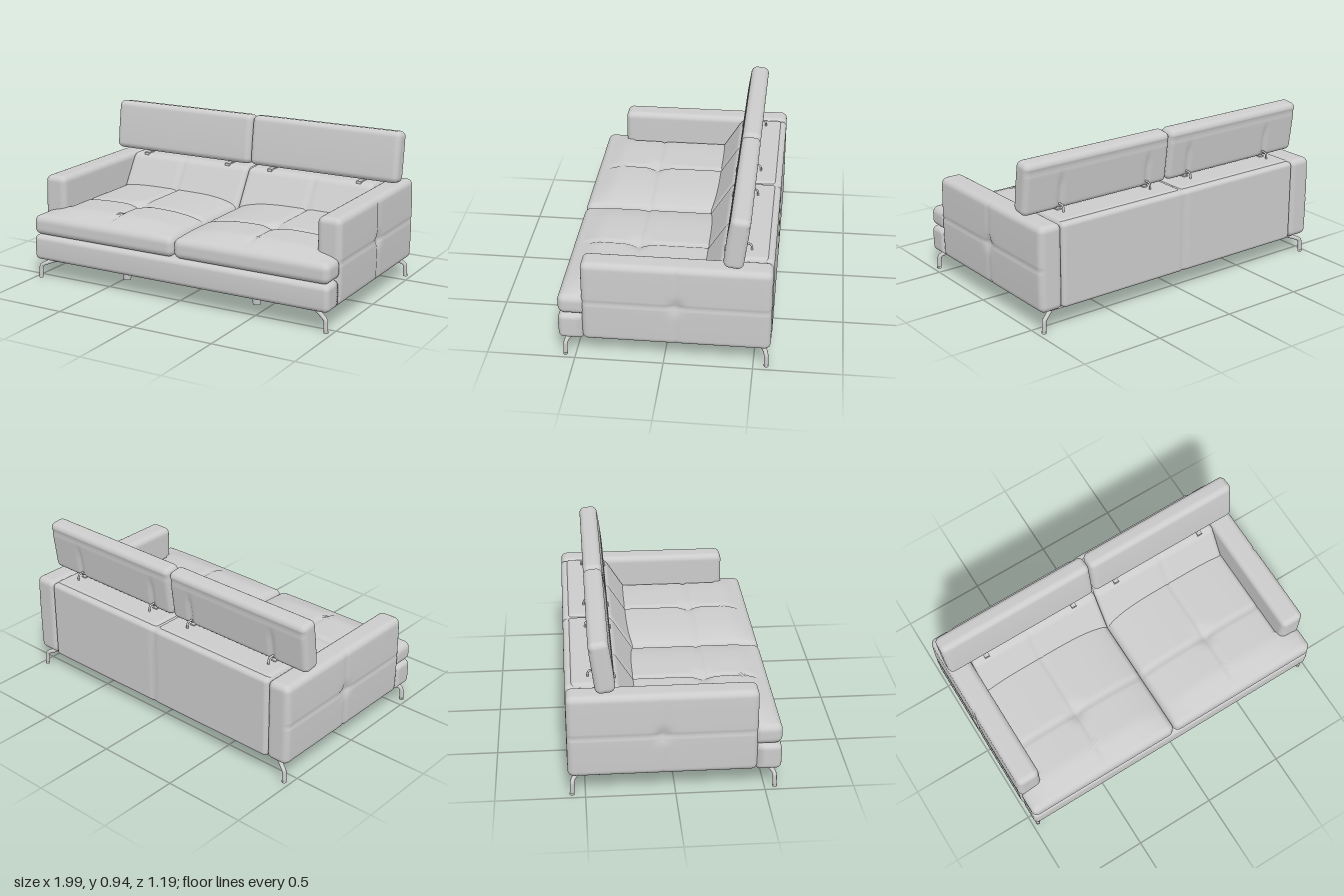
import * as THREE from 'three';
import { mergeVertices } from 'three/addons/utils/BufferGeometryUtils.js';

const material = new THREE.MeshStandardMaterial({ color: 0xcccccc });
const bump = (d, w) => Math.exp(-((d / w) ** 2));
const smooth = THREE.MathUtils.smoothstep;

// Upholstered block: a gridded box with rounded edges, then shaped by a rule.
function pillow(name, min, max, r, segs, shape) {
  const EDGE = 4;
  const geo = new THREE.BoxGeometry(1, 1, 1, ...segs);
  geo.deleteAttribute('uv');
  geo.deleteAttribute('normal');
  const pos = geo.attributes.position;
  const p = new THREE.Vector3(), core = new THREE.Vector3();
  const lo = new THREE.Vector3(...min), hi = new THREE.Vector3(...max);
  const inLo = lo.clone().addScalar(r), inHi = hi.clone().subScalar(r);
  const inset = (i) => r * (1 - Math.tan((Math.PI / 4) * (1 - i / EDGE)));
  const place = (t, n, a, b) => {
    const i = Math.round((t + 0.5) * n);
    if (i <= EDGE) return a + inset(i);
    if (i >= n - EDGE) return b - inset(n - i);
    return a + r + ((b - a - 2 * r) * (i - EDGE)) / (n - 2 * EDGE);
  };
  for (let i = 0; i < pos.count; i++) {
    p.fromBufferAttribute(pos, i);
    p.set(
      place(p.x, segs[0], lo.x, hi.x),
      place(p.y, segs[1], lo.y, hi.y),
      place(p.z, segs[2], lo.z, hi.z));
    core.copy(p).clamp(inLo, inHi);
    p.sub(core).setLength(r).add(core);
    shape(p);
    pos.setXYZ(i, p.x, p.y, p.z);
  }
  const merged = mergeVertices(geo, 1e-5);
  merged.computeVertexNormals();
  const mesh = new THREE.Mesh(merged, material);
  mesh.name = name;
  return mesh;
}

// Round bar bent through a few points.
function bar(name, points, radius) {
  const curve = new THREE.CatmullRomCurve3(points.map((q) => new THREE.Vector3(...q)), false, 'catmullrom', 0.2);
  const mesh = new THREE.Mesh(new THREE.TubeGeometry(curve, 32, radius, 10), material);
  mesh.name = name;
  return mesh;
}

function block(name, size, at) {
  const mesh = new THREE.Mesh(new THREE.BoxGeometry(...size), material);
  mesh.name = name;
  mesh.position.set(...at);
  return mesh;
}

// Bounds in x for a part mirrored to side s.
const span = (s, a, b) => (s > 0 ? [a, b] : [-b, -a]);

function arm(s) {
  const [x0, x1] = span(s, 0.847, 0.99);
  return pillow('arm', [x0, 0.12, -0.595], [x1, 0.62, 0.456], 0.036, [10, 40, 60], (p) => {
    // crossed seams and a tuft on the outer face
    const outer = smooth(Math.abs(p.x), 0.94, 0.98);
    const dy = p.y - 0.37, dz = p.z + 0.07;
    const seam = 0.006 * Math.max(bump(dy, 0.008), bump(dz, 0.008));
    const puff = 0.005 * (1 - (dy / 0.25) ** 2);
    p.x += s * outer * (puff - seam - 0.014 * bump(Math.hypot(dy, dz), 0.04));
  });
}

function seatCushion(s) {
  const [x0, x1] = span(s, 0.002, 0.987);
  return pillow('seatCushion', [x0, 0.28, -0.25], [x1, 0.4, 0.592], 0.04, [58, 12, 54], (p) => {
    // narrower between the arms, full width in front of them
    const ax = Math.abs(p.x) * THREE.MathUtils.lerp(0.865, 1, smooth(p.z, 0.4, 0.45));
    p.x = s * ax;
    const top = smooth(p.y, 0.33, 0.395);
    const u = (ax - 0.48) / 0.48;
    const crown = 0.046 * Math.max(0, 1 - u ** 4) * (1 - smooth(p.z, 0.42, 0.61));
    const dx = ax - 0.46, dz = p.z - 0.2;
    const seam = 0.011 * Math.max(bump(dx, 0.012) * (1 - smooth(p.z, 0.48, 0.54)), bump(dz, 0.012));
    p.y += top * (crown - seam - 0.022 * bump(Math.hypot(dx, dz), 0.05));
  });
}

function backCushion(s) {
  const [x0, x1] = span(s, 0.002, 0.846);
  return pillow('backCushion', [x0, 0.3, -0.46], [x1, 0.625, -0.2], 0.03, [48, 14, 10], (p) => {
    // one vertical seam, and the whole cushion leans back
    const front = smooth(p.z, -0.3, -0.21);
    p.z -= front * 0.009 * bump(Math.abs(p.x) - 0.46, 0.012);
    p.z -= (p.y - 0.44) * 0.62;
  });
}

function headrest(s) {
  const [x0, x1] = span(s, 0.003, 0.988);
  const group = new THREE.Group();
  group.name = 'headrest';
  group.add(pillow('headrestCushion', [x0, -0.154, -0.055], [x1, 0.154, 0.055], 0.034, [72, 22, 10], (p) => {
    const ax = Math.abs(p.x);
    const back = 1 - smooth(p.z, -0.05, -0.02);
    // folds above the brackets and a stitched line near the top
    const fold = Math.max(bump(ax - 0.15, 0.014), bump(ax - 0.75, 0.014)) * (1 - smooth(p.y, -0.02, 0.09));
    p.z += back * (0.012 * fold + 0.005 * bump(p.y - 0.103, 0.009));
    p.z += 0.004 * (1 - (p.y / 0.154) ** 2) * smooth(p.z, 0, 0.05);
  }));
  group.position.set(0, 0.788, -0.396);
  group.rotation.x = -0.13;
  return group;
}

// Bent metal foot running diagonally out to a corner.
function cornerLeg(sx, z, sz) {
  const group = new THREE.Group();
  group.name = 'cornerLeg';
  const at = (x, y, out) => [sx * x, y, z + sz * out];
  group.add(bar('legBar', [at(0.83, 0.114, -0.075), at(0.89, 0.108, -0.04), at(0.945, 0.088, -0.006),
    at(0.963, 0.07, 0), at(0.966, 0.0, 0.002)], 0.0125));
  group.add(block('legPlate', [0.1, 0.012, 0.09], at(0.855, 0.116, -0.06)));
  const cap = new THREE.Mesh(new THREE.CylinderGeometry(0.0135, 0.0135, 0.012, 12), material);
  cap.name = 'legCap';
  cap.position.set(...at(0.966, 0.006, 0.002));
  group.add(cap);
  return group;
}

export function createModel() {
  const sofa = new THREE.Group();
  sofa.name = 'sofa';

  // Base and rear body
  sofa.add(block('base', [1.72, 0.16, 1.0], [0, 0.2, -0.04]));
  sofa.add(pillow('frontRail', [-0.988, 0.12, 0.4], [0.988, 0.277, 0.588], 0.03, [24, 12, 12], (p) => {
    p.z += 0.004 * smooth(p.z, 0.5, 0.58) * (1 - ((p.y - 0.2) / 0.08) ** 2);
    if (p.z < 0.455) p.x *= 0.93;
  }));
  sofa.add(pillow('backPanel', [-0.848, 0.12, -0.597], [0.848, 0.617, -0.34], 0.025, [80, 12, 10], (p) => {
    // central seam down the rear and over the top
    const seam = bump(p.x, 0.012);
    p.z += 0.008 * seam * (1 - smooth(p.z, -0.59, -0.55));
    p.y -= 0.006 * seam * smooth(p.y, 0.58, 0.61);
  }));

  for (const s of [1, -1]) {
    sofa.add(arm(s), seatCushion(s), backCushion(s), headrest(s));
    sofa.add(cornerLeg(s, 0.556, 1), cornerLeg(s, -0.572, -1));
    // Headrest brackets
    for (const x of [0.15, 0.75]) {
      sofa.add(bar('headrestBracket', [[s * x, 0.61, -0.466], [s * x, 0.645, -0.466],
        [s * x, 0.66, -0.456], [s * x, 0.664, -0.41]], 0.006));
      sofa.add(block('bracketPlate', [0.03, 0.016, 0.11], [s * x, 0.624, -0.37]));
    }
  }

  // Tapered middle legs
  for (const x of [-0.485, 0.415]) {
    const leg = new THREE.Mesh(new THREE.CylinderGeometry(0.037, 0.023, 0.125, 24), material);
    leg.name = 'middleLeg';
    leg.position.set(x, 0.0625, 0.33);
    sofa.add(leg);
  }
  return sofa;
}
